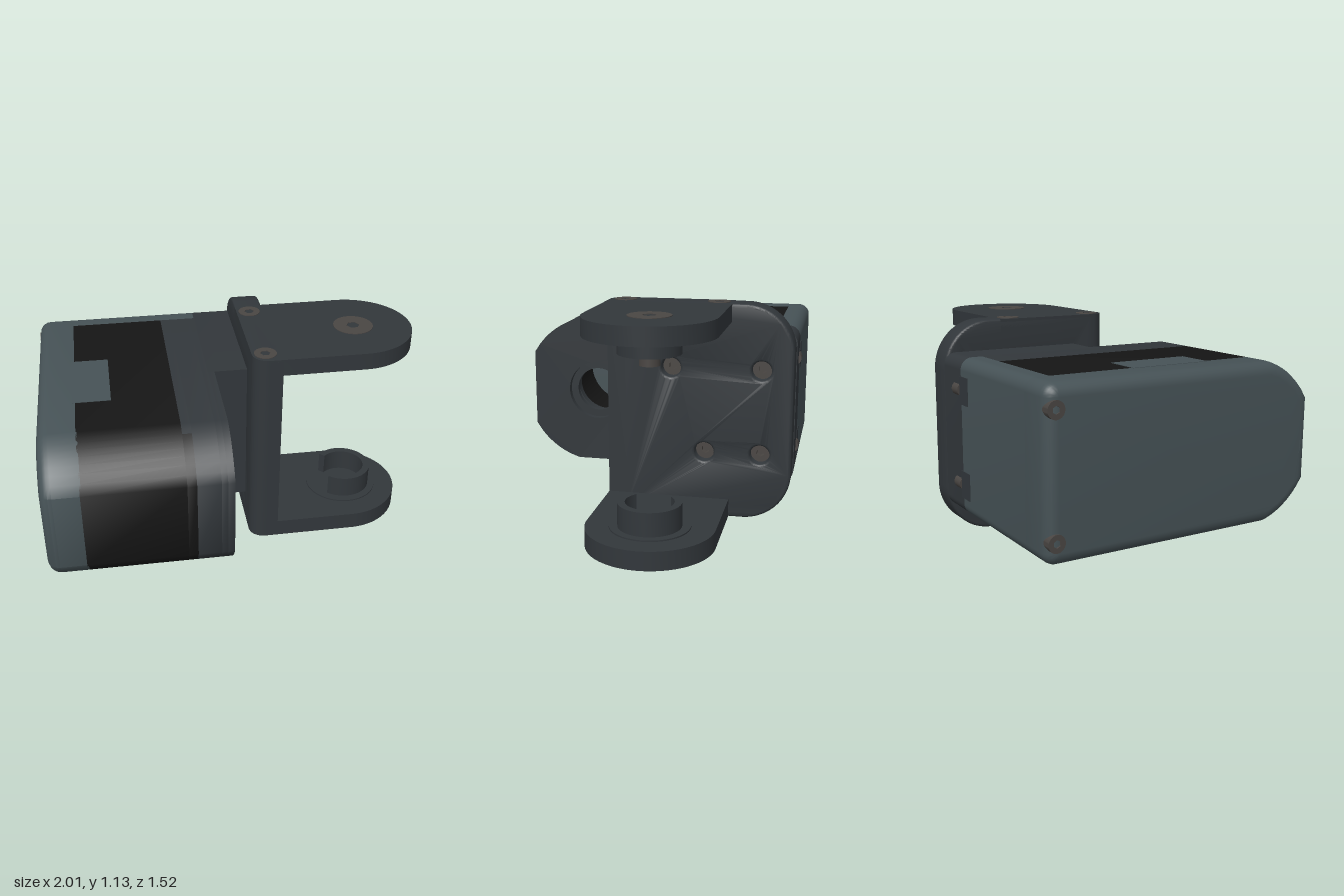
import * as THREE from 'three';
import { toCreasedNormals } from 'three/addons/utils/BufferGeometryUtils.js';

const mat = (color) => new THREE.MeshStandardMaterial({ color });
const LIGHT = mat(0x465256), DARK = mat(0x32373b), BLACK = mat(0x151515), STEEL = mat(0x4a4643);
const MID = 0.565; // height of the motor axis
const AXIS_Z = 0.36; // depth of the motor axis
const ARM = { x: 0.685, z: -0.115, r: 0.32 };

function add(parent, name, geometry, material) {
  const mesh = new THREE.Mesh(geometry, material);
  mesh.name = name;
  parent.add(mesh);
  return mesh;
}

function circlePath(x, y, r) {
  return new THREE.Path().absarc(x, y, r, 0, Math.PI * 2, true);
}

// Extrude a (-z, y) outline along x, from x0 to x1, with an optional rounded rim
function extrudeX(shape, x0, x1, bevel = 0) {
  const g = new THREE.ExtrudeGeometry(shape, {
    depth: x1 - x0 - 2 * bevel, curveSegments: 32, bevelEnabled: bevel > 0,
    bevelSize: bevel, bevelThickness: bevel, bevelOffset: -bevel, bevelSegments: 5,
  });
  g.translate(0, 0, x0 + bevel).rotateY(Math.PI / 2);
  return toCreasedNormals(g, 0.6);
}

// Extrude an (x, -z) outline upward, from y0 to y1
function extrudeY(shape, y0, y1) {
  const g = new THREE.ExtrudeGeometry(shape, { depth: y1 - y0, curveSegments: 32, bevelEnabled: false });
  g.rotateX(-Math.PI / 2).translate(0, y0, 0);
  return toCreasedNormals(g, 0.6);
}

// Half height of the motor case: small round at the back, large arc at the front
function halfHeight(z) {
  if (z < -0.695) return 0.34 + Math.sqrt(Math.max(0, 0.0036 - (z + 0.695) ** 2));
  if (z > AXIS_Z) return Math.min(0.4, Math.sqrt(0.415 ** 2 - (z - AXIS_Z) ** 2));
  return 0.4;
}

// Slice of the case outline between two depths, with an optional bore
function caseShape(z0, z1, bore) {
  const zs = [z0, z1];
  for (let i = 0; i <= 8; i++) {
    zs.push(-0.695 - 0.06 * Math.sin((i / 8) * Math.PI / 2), 0.47 + (0.25 * i) / 8);
  }
  const inside = [...new Set(zs)].filter((z) => z >= z0 && z <= z1).sort((a, b) => a - b);
  const pts = inside.map((z) => new THREE.Vector2(-z, MID + halfHeight(z)));
  inside.reverse().forEach((z) => pts.push(new THREE.Vector2(-z, MID - halfHeight(z))));
  const shape = new THREE.Shape(pts);
  if (bore) shape.holes.push(circlePath(-AXIS_Z, MID, bore));
  return shape;
}

// Socket screw whose head faces +y at the origin
function screw(name, r, depth) {
  const g = new THREE.Group();
  g.name = name;
  const head = new THREE.Shape().absarc(0, 0, r, 0, Math.PI * 2, false);
  const hex = [];
  for (let i = 0; i < 6; i++) {
    hex.push(new THREE.Vector2(Math.cos(-i * Math.PI / 3), Math.sin(-i * Math.PI / 3)).multiplyScalar(Math.min(r * 0.45, 0.035)));
  }
  head.holes.push(new THREE.Path(hex));
  add(g, 'screwHead', extrudeY(head, -depth, 0), STEEL);
  add(g, 'socketFloor', new THREE.CylinderGeometry(r * 0.9, r * 0.9, depth / 2, 24).translate(0, -depth * 0.75, 0), STEEL);
  return g;
}

function createCase() {
  const g = new THREE.Group();
  g.name = 'motorCase';
  const slice = (name, m, x0, x1, z0, z1, bore, bevel) =>
    add(g, name, extrudeX(caseShape(z0, z1, bore), x0, x1, bevel), m);

  slice('endCap', LIGHT, -0.976, -0.72, -0.755, 0.72, 0.25, 0.06);
  slice('rearCover', LIGHT, -0.787, -0.1, -0.755, -0.638);
  slice('blackBand', BLACK, -0.787, -0.292, -0.638, 0.72, 0.22);
  slice('bandTab', BLACK, -0.292, -0.246, 0.53, 0.72);
  // Output side, stepping in around the shaft opening
  slice('outputCase', DARK, -0.292, -0.246, -0.638, 0.53);
  g.children.pop();
  const behind = caseShape(-0.638, 0.53, 0.16);
  add(g, 'outputCase', extrudeX(behind, -0.292, -0.246), DARK);
  slice('outputFace', DARK, -0.246, -0.13, -0.638, 0.72, 0.2);
  slice('shaftOpening', DARK, -0.13, -0.1, -0.638, 0.72, 0.12);
  slice('shaftRim', DARK, -0.1, -0.066, -0.638, 0.72, 0.16);
  slice('mountBlock', DARK, -0.1, 0.107, -0.755, 0);

  // Light tabs reaching into the band, top and bottom
  for (const s of [1, -1]) {
    const tab = add(g, 'coverTab', new THREE.BoxGeometry(0.19, 0.01, 0.42), LIGHT);
    tab.position.set(-0.705, MID + s * 0.397, 0);
    // Case screws at the rear corners and their pockets beside the bracket
    const bolt = screw('caseScrew', 0.042, 0.07);
    bolt.rotation.z = Math.PI / 2;
    bolt.position.set(-0.982, MID + s * 0.29, -0.71);
    g.add(bolt);
    const pocket = add(g, 'screwPocket', new THREE.BoxGeometry(0.1, 0.14, 0.02), DARK);
    pocket.position.set(-0.13, MID + s * 0.24, -0.748);
    const pocketBolt = add(g, 'pocketScrew', new THREE.CylinderGeometry(0.035, 0.035, 0.07, 20), STEEL);
    pocketBolt.rotation.z = Math.PI / 2;
    pocketBolt.position.set(-0.05, MID + s * 0.24, -0.735);
  }
  return g;
}

function createBracket() {
  const g = new THREE.Group();
  g.name = 'bracket';

  // Upright plate with rounded rear corners and four screw holes
  const r = 0.25, back = 0.752, front = -0.127, top = 1.12;
  const plate = new THREE.Shape();
  plate.moveTo(front, 0).lineTo(back - r, 0);
  plate.absarc(back - r, r, r, -Math.PI / 2, 0, false);
  plate.absarc(back - r, top - r, r, 0, Math.PI / 2, false);
  plate.lineTo(front, top);
  const holes = [[-0.126, 0.785], [-0.59, 0.785], [-0.302, 0.345], [-0.59, 0.345]];
  holes.forEach(([z, y]) => plate.holes.push(circlePath(-z, y, 0.05)));
  add(g, 'plate', extrudeX(plate, 0.107, 0.257, 0.015), DARK);
  for (const [z, y] of holes) {
    const s = screw('plateScrew', 0.05, 0.07);
    s.rotation.z = -Math.PI / 2;
    s.position.set(0.2, y, z);
    g.add(s);
  }

  // Rounded front edge of the plate
  const edge = new THREE.Shape();
  edge.moveTo(0.257, -0.08).lineTo(0.107, -0.08).lineTo(0.107, -0.127);
  edge.absarc(0.187, -0.127, 0.08, Math.PI, Math.PI * 1.5, false);
  edge.lineTo(0.257, -0.207);
  add(g, 'plateEdge', extrudeY(edge, 0.01, 1.11), DARK);

  // Upper and lower arms with round ends
  const arm = new THREE.Shape();
  arm.moveTo(0.107, -0.127).absarc(0.187, -0.127, 0.08, Math.PI, Math.PI * 1.5, false);
  arm.absarc(ARM.x, -ARM.z, ARM.r, -Math.PI / 2, Math.PI / 2, false);
  arm.lineTo(0.107, -ARM.z + ARM.r);
  add(g, 'upperArm', extrudeY(arm, 1.03, top), DARK);
  add(g, 'lowerArm', extrudeY(arm, 0, 0.095), DARK);
  for (const z of [-0.36, 0.126]) {
    const upper = screw('upperArmScrew', 0.058, 0.05);
    upper.position.set(0.177, top + 0.003, z);
    const lower = screw('lowerArmScrew', 0.058, 0.05);
    lower.rotation.x = Math.PI;
    lower.position.set(0.177, -0.003, z);
    g.add(upper, lower);
  }

  // Pivot under the upper arm
  const cylinder = (name, radius, y0, y1, m) =>
    add(g, name, new THREE.CylinderGeometry(radius, radius, y1 - y0, 40), m).position.set(ARM.x + 0.01, (y0 + y1) / 2, ARM.z);
  cylinder('pivotBoss', 0.152, 0.945, 1.04, DARK);
  cylinder('pivotPin', 0.05, 0.888, 0.95, STEEL);
  const cap = screw('pivotScrew', 0.105, 0.06);
  cap.position.set(ARM.x + 0.01, top + 0.003, ARM.z);
  g.add(cap);

  // Open collar on the lower arm, with its gap toward the plate
  cylinder('collarBase', 0.2, 0.09, 0.102, DARK);
  const a = Math.PI * 0.745;
  const collar = new THREE.Shape();
  collar.absarc(ARM.x + 0.015, -ARM.z, 0.157, -a, a, false);
  collar.absarc(ARM.x + 0.015, -ARM.z, 0.12, a, -a, true);
  add(g, 'collar', extrudeY(collar, 0.095, 0.222), DARK);
  return g;
}

export function createModel() {
  const model = new THREE.Group();
  model.name = 'motorJoint';
  model.add(createCase(), createBracket());
  model.rotation.y = 0.036;
  return model;
}
